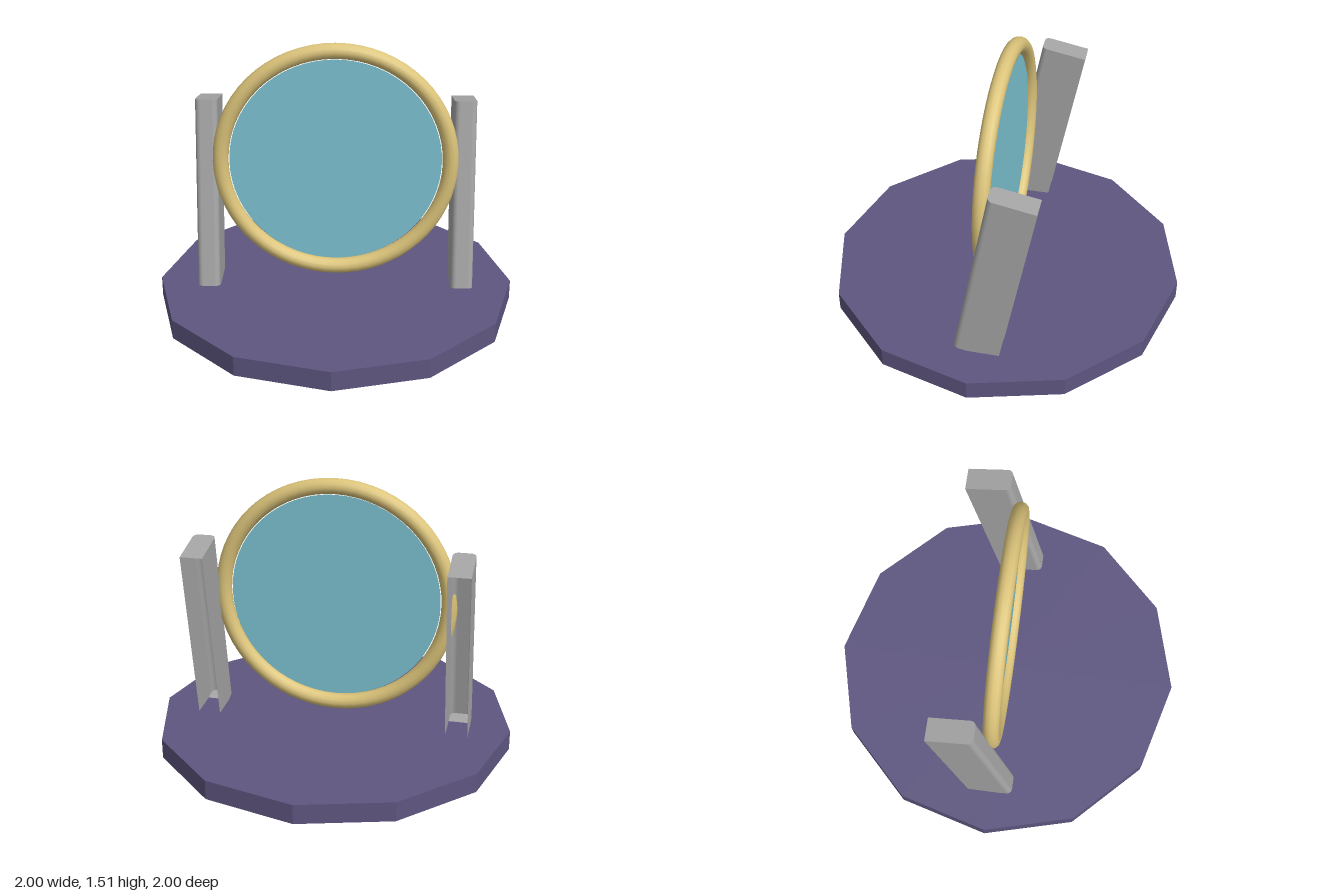
import * as THREE from 'three';

const mat = (name, color, side = THREE.FrontSide) => {
  const m = new THREE.MeshStandardMaterial({ color, side });
  m.name = name;
  return m;
};

// Channel-shaped post: rounded front corners, closed ends, open back
function createPost(material, width, depth, height, radius) {
  const post = new THREE.Group();
  const profile = [{ x: width / 2, z: -depth, nx: 1, nz: 0 }];
  for (const side of [1, -1]) {
    for (let i = 0; i <= 5; i++) {
      const t = (i / 5) * Math.PI / 2;
      const a = side > 0 ? t : Math.PI / 2 + t;
      const nx = Math.cos(a), nz = Math.sin(a);
      profile.push({ x: side * (width / 2 - radius) + radius * nx, z: -radius + radius * nz, nx, nz });
    }
  }
  profile.push({ x: -width / 2, z: -depth, nx: -1, nz: 0 });

  const positions = [], normals = [], indices = [];
  profile.forEach((p, i) => {
    positions.push(p.x, 0, p.z, p.x, height, p.z);
    normals.push(p.nx, 0, p.nz, p.nx, 0, p.nz);
    if (i > 0) {
      const a = 2 * (i - 1);
      indices.push(a, a + 1, a + 2, a + 1, a + 3, a + 2);
    }
  });
  // Walls run from +x round the front to -x, so wind them to face outwards
  for (let i = 0; i < indices.length; i += 3) {
    [indices[i + 1], indices[i + 2]] = [indices[i + 2], indices[i + 1]];
  }
  const wallGeometry = new THREE.BufferGeometry();
  wallGeometry.setAttribute('position', new THREE.Float32BufferAttribute(positions, 3));
  wallGeometry.setAttribute('normal', new THREE.Float32BufferAttribute(normals, 3));
  wallGeometry.setIndex(indices);
  const walls = new THREE.Mesh(wallGeometry, material);
  walls.name = 'postWalls';
  post.add(walls);

  // End caps
  const outline = new THREE.Shape(profile.map(p => new THREE.Vector2(p.x, -p.z)));
  for (const [name, y] of [['postBottom', 0], ['postTop', height]]) {
    const geometry = new THREE.ShapeGeometry(outline).rotateX(-Math.PI / 2);
    // Local depth runs from the front edge backwards
    const cap = new THREE.Mesh(geometry, material);
    cap.name = name;
    cap.position.y = y;
    post.add(cap);
  }
  return post;
}

export function createModel() {
  const model = new THREE.Group();
  model.name = 'tableMirror';
  const purple = mat('purple base', 0x5e5680);
  const gold = mat('gold frame', 0xdcc47a);
  const teal = mat('teal glass', 0x7cc2d2, THREE.DoubleSide);
  const grey = mat('grey posts', 0xa5a5a5, THREE.DoubleSide);

  // Twelve-sided base
  const baseGeometry = new THREE.CylinderGeometry(1, 1, 0.11, 12).toNonIndexed();
  baseGeometry.computeVertexNormals();
  const base = new THREE.Mesh(baseGeometry, purple);
  base.name = 'base';
  base.position.y = 0.055;
  model.add(base);

  // Ring frame and the glass inside it
  const frame = new THREE.Mesh(new THREE.TorusGeometry(0.634, 0.044, 12, 64), gold);
  frame.name = 'frame';
  frame.position.y = 0.833;
  model.add(frame);

  const glass = new THREE.Mesh(new THREE.CircleGeometry(0.586, 64), teal);
  glass.name = 'glass';
  glass.position.y = 0.833;
  model.add(glass);

  // Pair of posts leaning backwards
  for (const [name, side] of [['leftPost', 1], ['rightPost', -1]]) {
    const post = createPost(grey, 0.124, 0.254, 1.06, 0.03);
    post.name = name;
    post.position.set(side * 0.712, 0.125, 0.13);
    post.rotation.x = -0.187;
    model.add(post);
  }
  return model;
}
